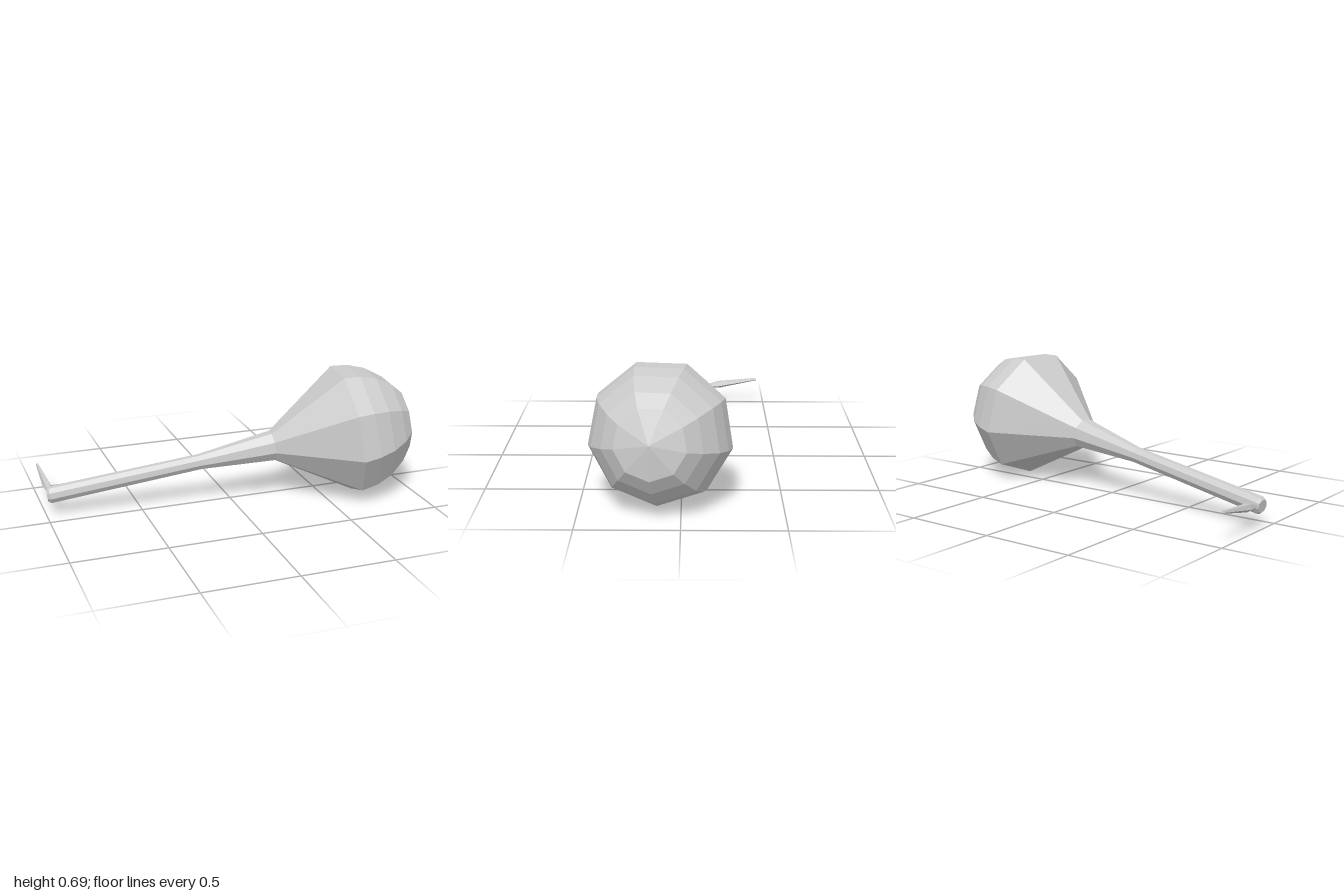
import * as THREE from 'three';

const material = new THREE.MeshStandardMaterial({ color: 0xcccccc, flatShading: true });

// Turned solid along the line start -> end, with one ridge facing down.
// Profile rows are [distance along the axis, radius].
function turned(name, start, end, profile, sides) {
  const axis = end.clone().sub(start).normalize();
  const down = new THREE.Vector3(0, -1, 0);
  down.addScaledVector(axis, -down.dot(axis)).normalize();
  const side = new THREE.Vector3().crossVectors(axis, down);
  const points = profile.map(([d, r]) => new THREE.Vector2(r, d));
  const geometry = new THREE.LatheGeometry(points, sides);
  geometry.applyMatrix4(new THREE.Matrix4().makeBasis(side, axis, down).setPosition(start));
  const mesh = new THREE.Mesh(geometry, material);
  mesh.name = name;
  return mesh;
}

export function createModel() {
  const group = new THREE.Group();
  group.name = 'gourdRattle';

  const base = new THREE.Vector3(-0.98, 0.11, -0.105);
  const neck = new THREE.Vector3(0.635, 0.355, 0.10);
  const rim = base.distanceTo(neck);

  // Slim handle, slightly flared towards the head
  group.add(turned('handle', base, neck, [
    [-0.01, 0], [-0.01, 0.034], [0.005, 0.046], [0.825, 0.043], [1.233, 0.085],
  ], 9));

  // Faceted head: straight cone up to the rim, then a rounded dome
  group.add(turned('head', base, neck, [
    [1.233, 0.085], [rim, 0.36], [rim + 0.09, 0.347], [rim + 0.18, 0.313],
    [rim + 0.27, 0.246], [rim + 0.33, 0.175], [rim + 0.366, 0],
  ], 9));

  // Thin spike standing out behind the end of the handle
  group.add(turned('spike', new THREE.Vector3(-0.968, 0.11, -0.12), new THREE.Vector3(-0.978, 0.157, -0.455), [
    [0, 0], [0, 0.013], [0.04, 0.015], [0.1, 0.023], [0.338, 0.008], [0.338, 0],
  ], 5));

  return group;
}
